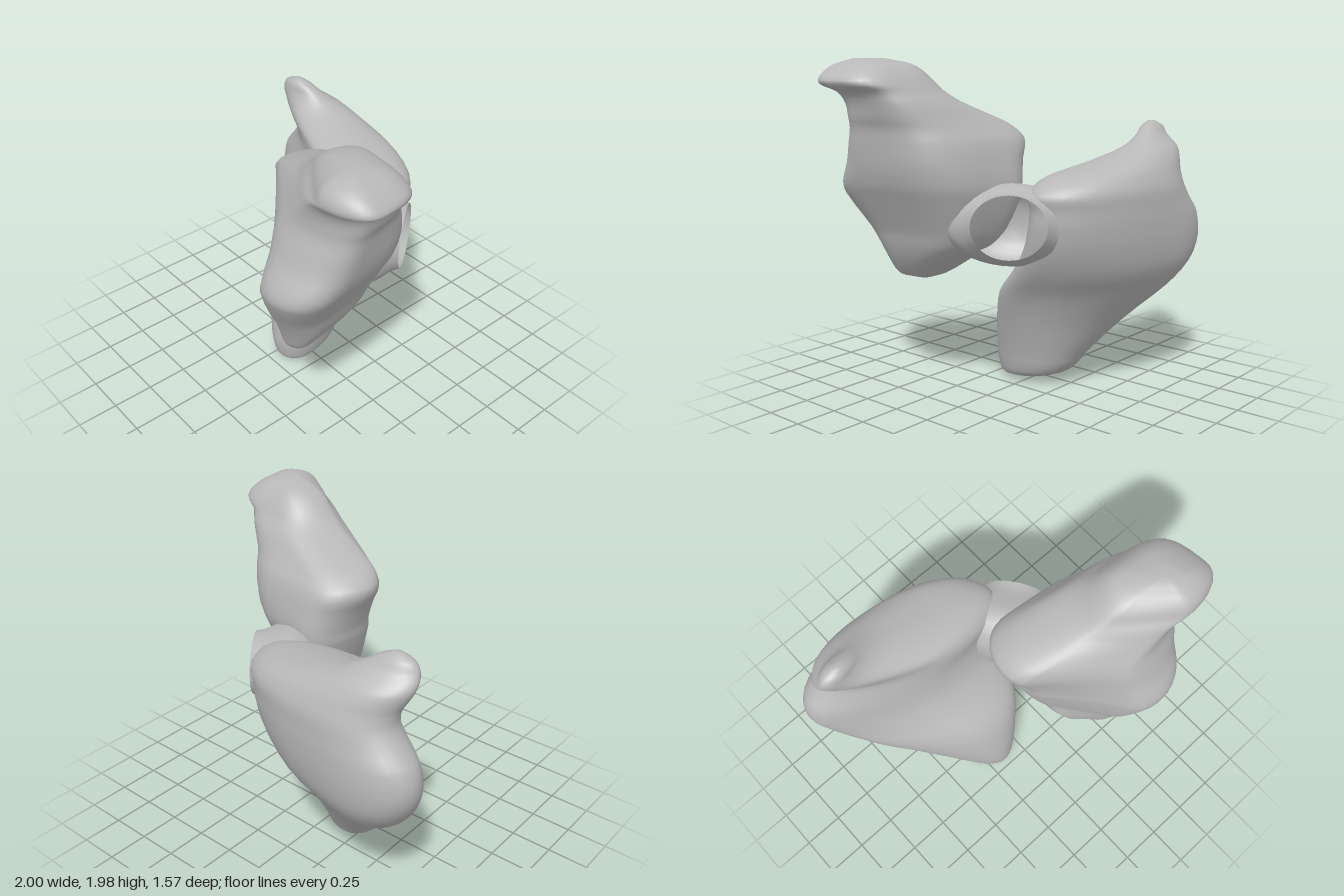
import * as THREE from 'three';

const SEGMENTS = 40;

// Skin a stack of closed rings; optionally close the first and last ring with a fan.
function skin(rings, capStart, capEnd) {
  const pos = [], idx = [], n = rings[0].length;
  rings.forEach(r => r.forEach(p => pos.push(p.x, p.y, p.z)));
  for (let i = 0; i < rings.length - 1; i++) {
    for (let j = 0; j < n; j++) {
      const a = i * n + j, b = i * n + (j + 1) % n;
      idx.push(a, a + n, b, b, a + n, b + n);
    }
  }
  const cap = (row, flip) => {
    const c = new THREE.Vector3();
    rings[row].forEach(p => c.addScaledVector(p, 1 / n));
    const k = pos.length / 3;
    pos.push(c.x, c.y, c.z);
    for (let j = 0; j < n; j++) {
      const a = row * n + j, b = row * n + (j + 1) % n;
      idx.push(...(flip ? [k, a, b] : [k, b, a]));
    }
  };
  if (capStart) cap(0, true);
  if (capEnd) cap(rings.length - 1, false);
  const g = new THREE.BufferGeometry();
  g.setAttribute('position', new THREE.Float32BufferAttribute(pos, 3));
  g.setIndex(idx);
  g.computeVertexNormals();
  return g;
}

// Smooth cubic between rows, applied to every column.
function refine(rows, steps) {
  const out = [];
  for (let i = 0; i < rows.length - 1; i++) {
    const a = rows[Math.max(i - 1, 0)], b = rows[i];
    const c = rows[i + 1], d = rows[Math.min(i + 2, rows.length - 1)];
    const h = c[0] - b[0];
    for (let s = 0; s < steps; s++) {
      const t = s / steps, t2 = t * t, t3 = t2 * t;
      out.push(b.map((v, k) => {
        if (k === 0) return v + h * t;
        const m0 = (c[k] - a[k]) / (c[0] - a[0]) * h;
        const m1 = (d[k] - v) / (d[0] - b[0]) * h;
        return (2 * t3 - 3 * t2 + 1) * v + (t3 - 2 * t2 + t) * m0
          + (3 * t2 - 2 * t3) * c[k] + (t3 - t2) * m1;
      }));
    }
  }
  out.push(rows[rows.length - 1]);
  return out;
}

// Lobe from level slices: y, x range, z range, skew (small = thin diagonal slab).
// belly flattens the +z/-x face and fills out the opposite one.
function lobe(rows, belly) {
  const rings = refine(rows, 3).map(([y, x0, x1, z0, z1, skew]) =>
    Array.from({ length: SEGMENTS }, (_, j) => {
      const t = j / SEGMENTS * Math.PI * 2;
      const power = 1 + belly * Math.sin(t - skew / 2);
      const wave = a => Math.sign(Math.cos(a)) * Math.abs(Math.cos(a)) ** power;
      return new THREE.Vector3(
        (x0 + x1) / 2 + (x1 - x0) / 2 * wave(t), y,
        (z0 + z1) / 2 + (z1 - z0) / 2 * wave(t - skew));
    }));
  return skin(rings, true, true);
}

export function createModel() {
  const group = new THREE.Group();
  const grey = new THREE.MeshStandardMaterial({ color: 0xb8b8b8, side: THREE.DoubleSide });
  grey.name = 'plain grey';
  const add = (name, geometry) => {
    const m = new THREE.Mesh(geometry, grey);
    m.name = name;
    group.add(m);
  };

  // Large rear lobe, tapering down to the foot and up to a small knob
  add('rearLobe', lobe([
    [0.00, -0.27, -0.20, 0.06, 0.14, 1.2],
    [0.03, -0.33, -0.07, -0.10, 0.19, 1.3],
    [0.08, -0.37, -0.03, -0.23, 0.22, 1.35],
    [0.20, -0.45, 0.00, -0.32, 0.23, 1.3],
    [0.40, -0.63, 0.06, -0.47, 0.19, 1.15],
    [0.60, -0.83, 0.13, -0.65, 0.11, 1.05],
    [0.75, -0.94, 0.19, -0.75, -0.03, 1.08],
    [0.90, -1.00, 0.23, -0.78, -0.14, 1.13],
    [1.05, -0.98, 0.25, -0.78, -0.19, 1.18],
    [1.15, -0.90, 0.25, -0.77, -0.20, 1.2],
    [1.24, -0.84, 0.26, -0.76, -0.20, 1.2],
    [1.32, -0.84, 0.13, -0.73, -0.23, 1.25],
    [1.38, -0.87, -0.16, -0.70, -0.30, 1.4],
    [1.45, -0.90, -0.43, -0.65, -0.37, 1.6],
    [1.52, -0.89, -0.58, -0.56, -0.40, 1.8],
    [1.57, -0.86, -0.66, -0.52, -0.41, 1.7],
    [1.60, -0.79, -0.73, -0.48, -0.44, 1.6],
  ], 0.12));

  // Smaller front lobe, swept into a hooked crest
  add('frontLobe', lobe([
    [0.67, 0.26, 0.35, 0.41, 0.50, 1.1],
    [0.70, 0.20, 0.44, 0.33, 0.56, 1.1],
    [0.80, 0.13, 0.52, 0.17, 0.60, 1.15],
    [0.90, 0.09, 0.57, 0.02, 0.64, 1.15],
    [1.00, 0.04, 0.61, -0.06, 0.69, 1.12],
    [1.20, -0.02, 0.73, -0.14, 0.78, 1.08],
    [1.28, -0.03, 0.77, -0.15, 0.77, 1.1],
    [1.40, -0.07, 0.80, -0.13, 0.70, 1.15],
    [1.52, -0.12, 0.82, -0.10, 0.65, 1.15],
    [1.60, -0.06, 0.83, -0.04, 0.62, 1.2],
    [1.66, 0.06, 0.85, 0.01, 0.61, 1.28],
    [1.74, 0.24, 0.87, 0.07, 0.61, 1.4],
    [1.80, 0.33, 0.91, 0.12, 0.62, 1.4],
    [1.845, 0.38, 1.00, 0.15, 0.64, 1.3],
    [1.90, 0.44, 0.97, 0.19, 0.63, 1.25],
    [1.95, 0.53, 0.89, 0.25, 0.58, 1.15],
    [1.98, 0.66, 0.80, 0.36, 0.49, 1.1],
  ], 0.36));

  // Neck bridging the lobes, with an open round socket: depth, half width, half height
  const rim = new THREE.Vector3(0.40, 1.07, -0.30);
  const inward = new THREE.Vector3(-0.81, 0, 0.58);
  const across = new THREE.Vector3(-0.58, 0, -0.81);
  const rings = refine([
    [0.00, 0.215, 0.18], [0.05, 0.27, 0.185], [0.11, 0.36, 0.205],
    [0.22, 0.40, 0.24], [0.33, 0.31, 0.21], [0.41, 0.10, 0.10],
  ], 3).map(([d, w, h]) => Array.from({ length: SEGMENTS }, (_, j) => {
    const t = j / SEGMENTS * Math.PI * 2;
    const p = rim.clone().addScaledVector(inward, d).addScaledVector(across, w * Math.cos(t));
    p.y += h * Math.sin(t) - d * 0.1;
    return p;
  }));
  add('socketNeck', skin(rings, false, true));

  return group;
}
